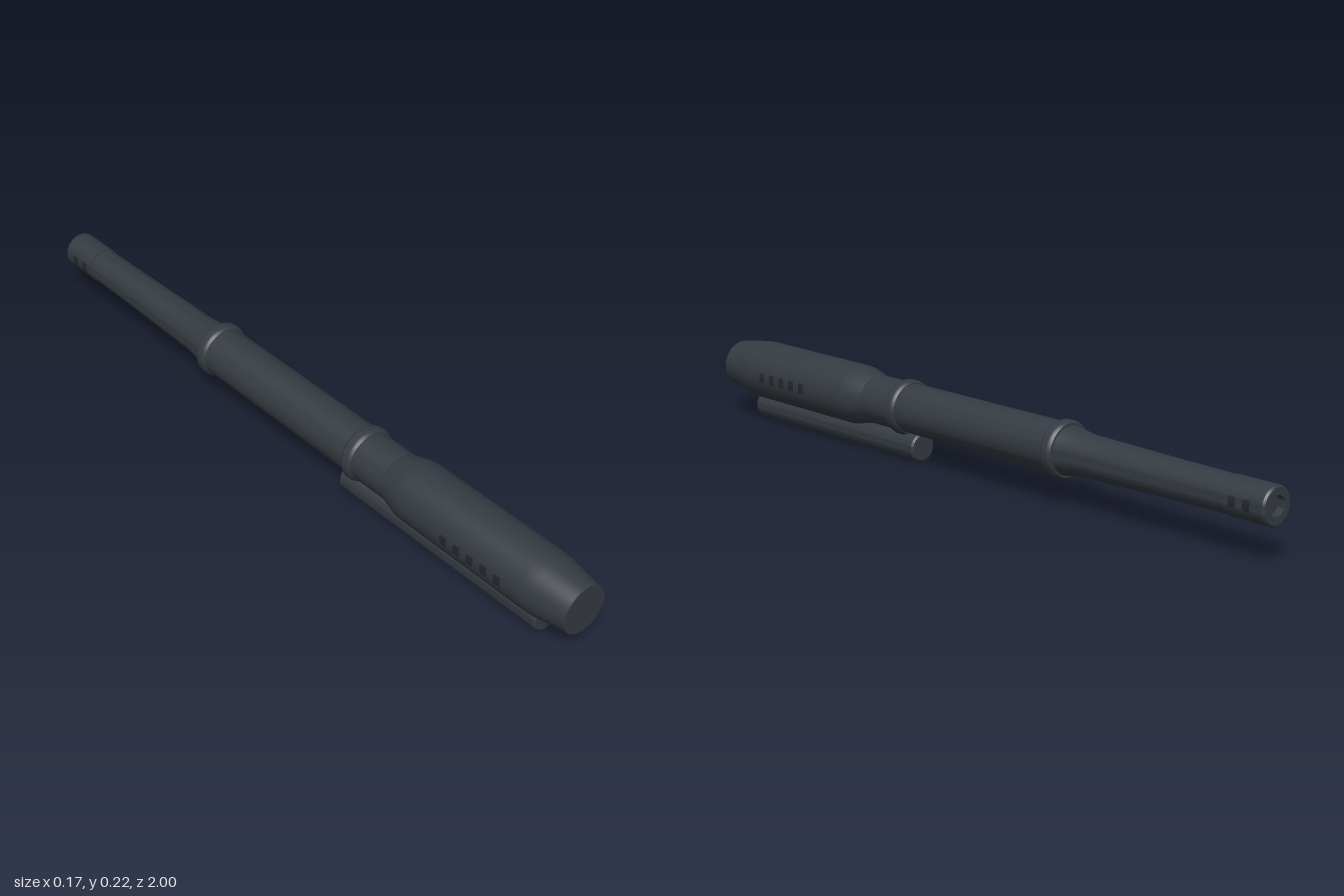
import * as THREE from 'three';
import { toCreasedNormals } from 'three/addons/utils/BufferGeometryUtils.js';

const AXIS_Y = 0.143;

export function createModel() {
  const model = new THREE.Group();
  model.name = 'slimTube';
  const gunmetal = new THREE.MeshStandardMaterial({ color: 0x353b42 });
  gunmetal.name = 'gunmetal';
  const slotDark = new THREE.MeshStandardMaterial({ color: 0x24292e });
  slotDark.name = 'slot dark';

  function add(name, geometry, material, y = AXIS_Y, z = 0) {
    const mesh = new THREE.Mesh(geometry, material);
    mesh.name = name;
    mesh.position.set(0, y, z);
    model.add(mesh);
    return mesh;
  }

  // Turned part along z; profile is [z, radius] from back to front
  function turned(name, profile, y = AXIS_Y, z = 0) {
    const points = profile.map(([pz, r]) => new THREE.Vector2(r, pz));
    const geometry = new THREE.LatheGeometry(points, 40).rotateX(Math.PI / 2);
    return add(name, toCreasedNormals(geometry, 0.5), gunmetal, y, z);
  }

  // Wide front sleeve with tapered ends
  turned('frontSleeve', [
    [0.38, 0], [0.38, 0.067], [0.44, 0.082], [0.46, 0.083],
    [0.87, 0.083], [0.9, 0.081], [1, 0.066], [1, 0],
  ]);

  // Straight middle body
  turned('body', [[-0.34, 0], [-0.34, 0.067], [0.39, 0.067], [0.39, 0]]);

  // Slim tapering rear tube
  turned('rearTube', [
    [-0.885, 0], [-0.885, 0.047], [-0.7, 0.049], [-0.54, 0.052],
    [-0.42, 0.054], [-0.37, 0.061], [-0.34, 0.066], [-0.34, 0],
  ]);

  // Rear tip with a shallow bore
  turned('rearTip', [
    [-0.98, 0], [-0.98, 0.026], [-1, 0.026], [-1, 0.045],
    [-0.994, 0.049], [-0.88, 0.049], [-0.88, 0],
  ]);

  // Rounded collars
  for (const z of [0.253, -0.336]) {
    turned('collar', [
      [-0.018, 0.06], [-0.018, 0.069], [-0.014, 0.073], [-0.008, 0.0755],
      [0.008, 0.0755], [0.014, 0.073], [0.018, 0.069], [0.018, 0.06],
    ], AXIS_Y, z);
  }

  // Thin rod slung beneath the front half
  turned('lowerRod', [
    [0.195, 0], [0.195, 0.035], [0.2, 0.04],
    [0.885, 0.04], [0.89, 0.035], [0.89, 0],
  ], 0.042);

  // Thin curved slot plates on both sides
  function slots(name, radius, positions, length, halfAngle) {
    for (const z of positions) {
      for (const side of [1, -1]) {
        const geometry = new THREE.CylinderGeometry(
          radius, radius, length, 6, 1, true,
          side * Math.PI / 2 - halfAngle, 2 * halfAngle,
        ).rotateX(Math.PI / 2);
        add(name, geometry, slotDark, AXIS_Y, z);
      }
    }
  }
  slots('sleeveSlot', 0.084, [0.8, 0.755, 0.71, 0.665, 0.62], 0.022, 0.17);
  slots('tipSlot', 0.05, [-0.95, -0.908], 0.02, 0.28);

  return model;
}
